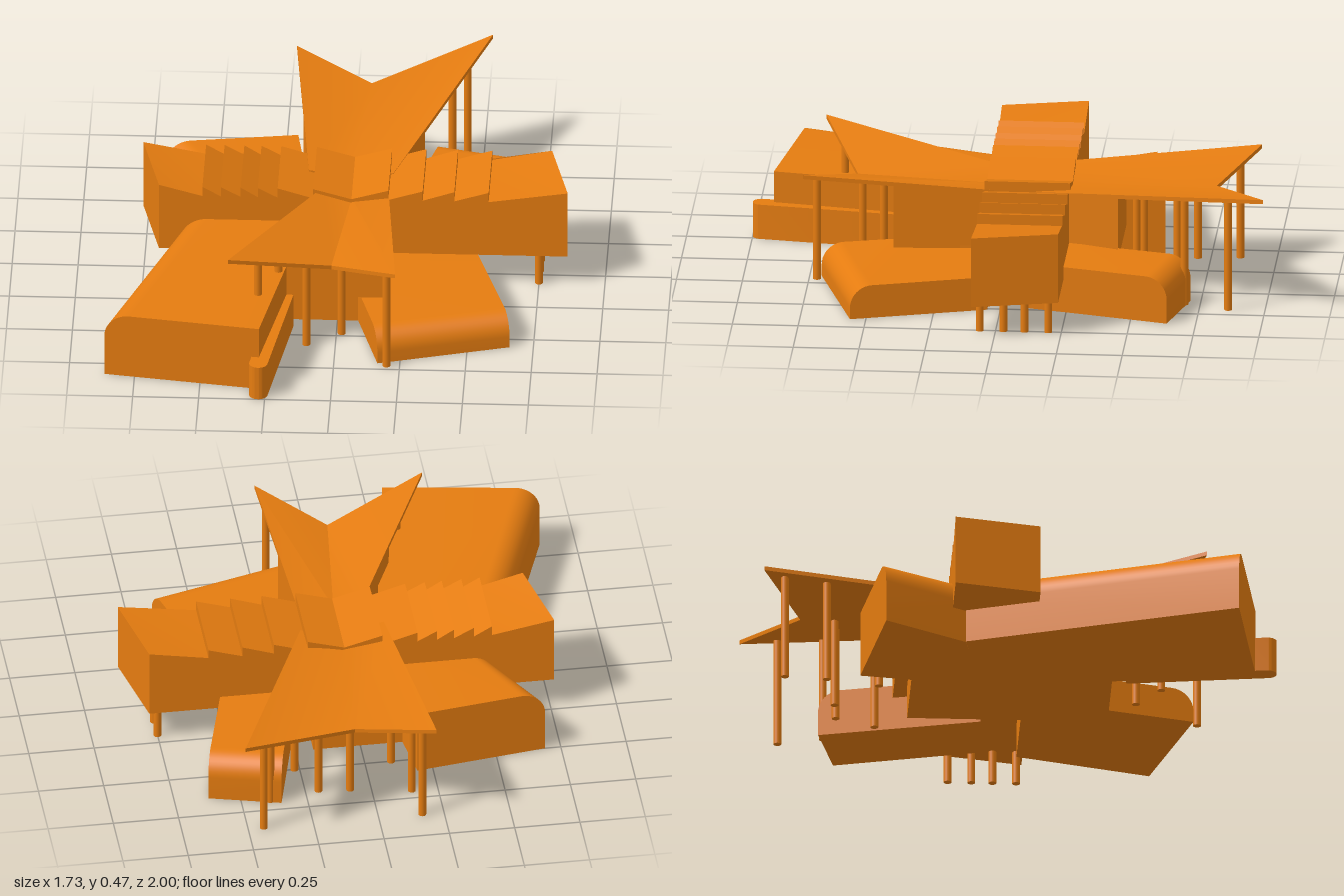
import * as THREE from 'three';
import { toCreasedNormals } from 'three/addons/utils/BufferGeometryUtils.js';

const material = new THREE.MeshStandardMaterial({ color: 0xe57c10 });
const V = (x, y, z) => new THREE.Vector3(x, y, z);

// Solid between two matching closed sections; caps fan out from the first point
function prism(a, b) {
  const n = a.length, tris = [];
  for (let i = 0; i < n; i++) {
    const j = (i + 1) % n;
    tris.push([a[i], b[i], b[j]], [a[i], b[j], a[j]]);
    if (i > 0 && i < n - 1) tris.push([a[0], a[i], a[i + 1]], [b[0], b[i + 1], b[i]]);
  }
  // Turn the faces outward
  const mid = a[0].clone().add(b[n >> 1]).multiplyScalar(0.5);
  let volume = 0;
  for (const t of tris) {
    const [p, q, r] = t.map((v) => v.clone().sub(mid));
    volume += p.dot(q.cross(r));
  }
  const points = tris.flatMap(([p, q, r]) => (volume < 0 ? [p, r, q] : [p, q, r]));
  const geometry = new THREE.BufferGeometry().setFromPoints(points);
  return toCreasedNormals(geometry, 0.5);
}

// Wing on four plan corners [x, z]; the upper edge above a-b is rounded
function wing(a, b, c, d, h, r) {
  const section = (from, to) => {
    const p = V(from[0], 0, from[1]), q = V(to[0], 0, to[1]);
    const dir = q.clone().sub(p).normalize();
    const put = (s, y) => p.clone().addScaledVector(dir, s).setY(y);
    const pts = [put(0, 0)];
    for (let i = 0; i <= 10; i++) {
      const t = (i / 10) * Math.PI / 2;
      pts.push(put(r * (1 - Math.cos(t)), h - r + r * Math.sin(t)));
    }
    pts.push(q.clone().setY(h), q);
    return pts;
  };
  return prism(section(a, d), section(b, c));
}

// Butterfly roofs: left edge, valley and right edge, at the inner and outer end
const frontRoof = {
  inner: [V(-0.08, 0.38, 0.05), V(0.04, 0.345, 0.05), V(0.18, 0.365, 0.05)],
  outer: [V(-0.4, 0.45, 0.73), V(-0.015, 0.35, 0.58), V(0.235, 0.425, 0.77)],
};
const backRoof = {
  inner: [V(-0.13, 0.372, -0.11), V(0.04, 0.345, -0.11), V(0.19, 0.365, -0.11)],
  outer: [V(-0.21, 0.44, -0.94), V(0.08, 0.37, -0.79), V(0.53, 0.473, -1)],
};
const THICK = 0.016;

// Roof section at a given z
const roofAt = (roof, z) => roof.inner.map((p, i) => {
  const q = roof.outer[i];
  return p.clone().lerp(q, (z - p.z) / (q.z - p.z));
});

function roofHeight(roof, x, z) {
  const [l, v, r] = roofAt(roof, z);
  const e = x < v.x ? l : r;
  return THREE.MathUtils.lerp(v.y, e.y, (x - v.x) / (e.x - v.x));
}

function roofSlab(roof) {
  const section = ([l, v, r]) => {
    const low = (p) => V(p.x, p.y - THICK, p.z);
    return [v, r, low(r), low(v), low(l), l];
  };
  return prism(section(roof.inner), section(roof.outer));
}

// Hall volume that fills up to the underside of a roof
function hallHalf(roof, zOuter) {
  const section = (z) => {
    const [l, v, r] = roofAt(roof, z);
    l.lerp(v, 0.12);
    r.lerp(v, 0.06);
    const low = (p) => V(p.x, 0.13, p.z);
    const pts = [v, r, low(r), low(l), l];
    pts.forEach((p, i) => { if (i < 2 || i === 4) p.y -= THICK * 0.6; });
    return pts;
  };
  return prism(section(roof.inner[0].z), section(zOuter));
}

// Long upper bar with sawtooth roof and slanted ends
function barGeometry() {
  const LOW = 0.36, HIGH = 0.4;
  const left = [-0.525, -0.455, -0.38, -0.315, -0.24, -0.105];
  const right = [0.18, 0.31, 0.43, 0.56];
  const s = new THREE.Shape();
  s.moveTo(0.86, 0.13);
  s.lineTo(0.86, 0.405);
  for (const x of [...right].reverse()) {
    s.lineTo(x, LOW);
    s.lineTo(x, HIGH);
  }
  s.lineTo(0.04, LOW);
  for (const x of [...left].reverse()) {
    s.lineTo(x, HIGH);
    s.lineTo(x, LOW);
  }
  s.lineTo(-0.69, 0.405);
  s.lineTo(-0.69, 0.13);
  const g = new THREE.ExtrudeGeometry(s, { depth: 0.325, bevelEnabled: false });
  g.translate(0, 0, -0.24);
  const p = g.attributes.position;
  for (let i = 0; i < p.count; i++) {
    const x = p.getX(i);
    if ((x > 0.8 || x < -0.6) && p.getZ(i) < 0) p.setX(i, x - 0.073);
  }
  return toCreasedNormals(g, 0.3);
}

export function createModel() {
  const model = new THREE.Group();
  const add = (name, geometry, parent = model) => {
    const mesh = new THREE.Mesh(geometry, material);
    mesh.name = name;
    parent.add(mesh);
    return mesh;
  };

  // Ground wings
  add('frontRightWing', wing([-0.865, 0.83], [-0.515, -0.19], [-0.1, -0.1], [-0.275, 0.92], 0.26, 0.095));
  add('backRightWing', wing([-0.69, -0.5], [-0.51, -0.19], [-0.12, -0.1], [-0.19, -0.575], 0.26, 0.095));
  add('frontLeftWing', wing([0.66, 0.56], [0.165, 0.705], [-0.01, 0.05], [0.51, 0.05], 0.13, 0.085));
  add('backLeftWing', wing([0.62, -0.64], [0.35, -0.71], [0.2, -0.1], [0.48, -0.1], 0.18, 0.085));

  // Upper bar, hall and butterfly roofs
  add('upperBar', barGeometry());
  add('frontHall', hallHalf(frontRoof, 0.43));
  add('backHall', hallHalf(backRoof, -0.43));
  add('hallBase', new THREE.BoxGeometry(0.36, 0.14, 0.76).translate(0, 0.07, 0));
  add('frontRoof', roofSlab(frontRoof));
  add('backRoof', roofSlab(backRoof));

  // Low garden wall with a rounded end
  const wall = new THREE.Shape();
  wall.moveTo(-0.035, 0);
  wall.lineTo(-0.035, -0.54);
  wall.lineTo(0.035, -0.54);
  wall.lineTo(0.035, 0);
  wall.absarc(0, 0, 0.035, 0, Math.PI, false);
  const wallGeometry = new THREE.ExtrudeGeometry(wall, { depth: 0.137, bevelEnabled: false, curveSegments: 16 });
  wallGeometry.rotateX(Math.PI / 2).translate(0, 0.137, 0);
  const gardenWall = add('gardenWall', toCreasedNormals(wallGeometry, 0.5));
  gardenWall.position.set(-0.275, 0, 0.965);
  gardenWall.rotation.y = -0.14;

  // Columns
  const columns = new THREE.Group();
  columns.name = 'columns';
  model.add(columns);
  const column = (name, x, z, top, r = 0.015) =>
    add(name, new THREE.CylinderGeometry(r, r, top, 16).translate(x, top / 2, z), columns);
  const frontSpots = [[-0.29, 0.65], [-0.22, 0.47], [-0.11, 0.57], [0.02, 0.48], [0.2, 0.72]];
  const backSpots = [[0.44, -0.86], [0.39, -0.69], [0.27, -0.5], [0.2, -0.65], [0.08, -0.66],
    [-0.167, -0.86], [-0.15, -0.7], [-0.1, -0.5]];
  for (const [x, z] of frontSpots) column('frontRoofColumn', x, z, roofHeight(frontRoof, x, z) - THICK / 2);
  for (const [x, z] of backSpots) column('backRoofColumn', x, z, roofHeight(backRoof, x, z) - THICK / 2);
  for (const z of [0.06, -0.03, -0.11, -0.2]) column('barColumn', 0.75, z, 0.14);

  return model;
}
